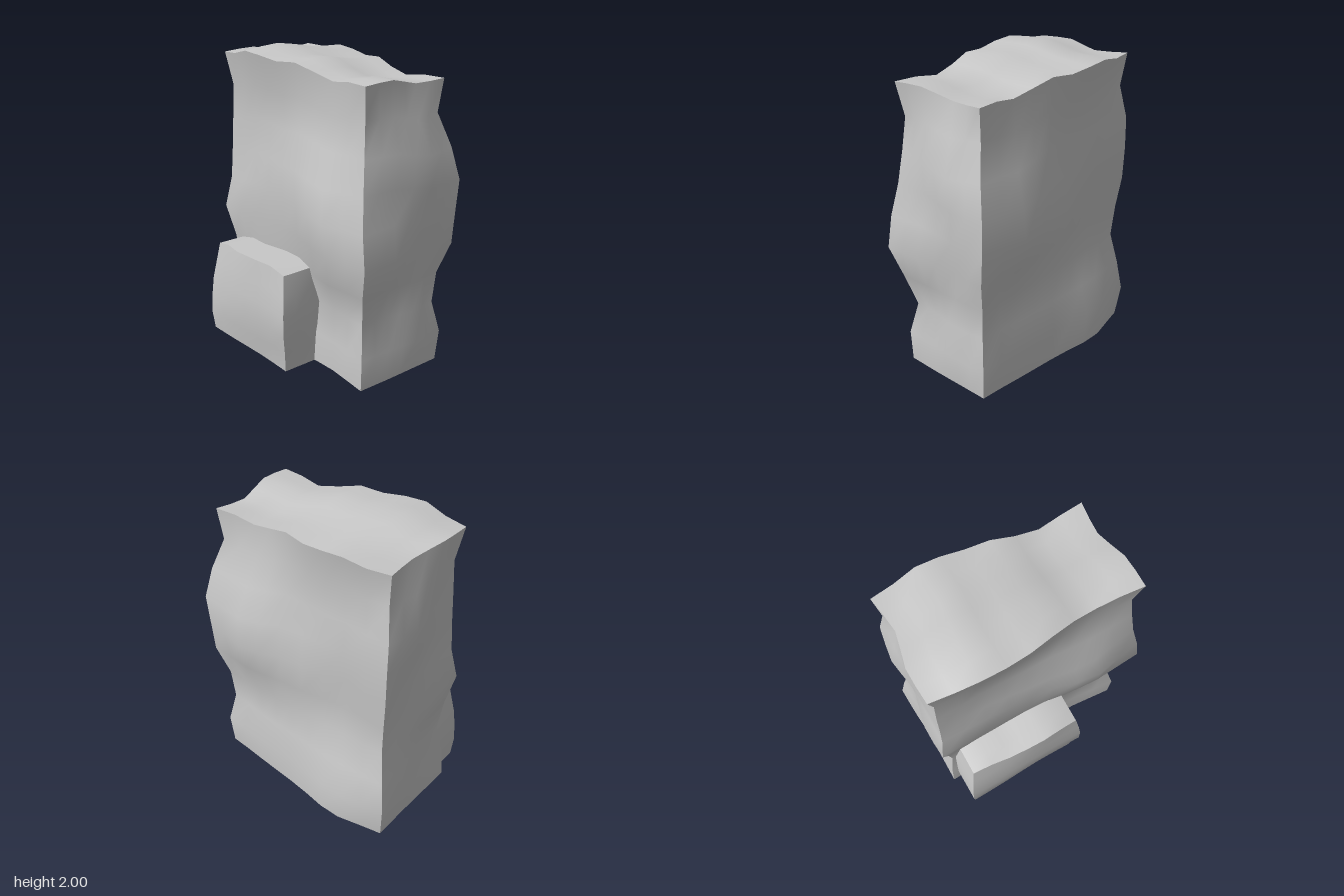
import * as THREE from 'three';

// Smooth curve through evenly spaced values, t from 0 to 1
function curve(values, t) {
  const last = values.length - 1;
  const s = Math.min(Math.max(t, 0), 1) * last;
  const i = Math.min(Math.floor(s), Math.max(last - 1, 0));
  const f = s - i;
  const at = (k) => values[Math.min(Math.max(k, 0), last)];
  const [a, b, c, d] = [at(i - 1), at(i), at(i + 1), at(i + 2)];
  return b + 0.5 * f * (c - a + f * (2 * a - 5 * b + 4 * c - d + f * (3 * (b - c) + d - a)));
}

// Wavy sheet through several profiles: s runs across them, t along them
const sheet = (profiles, s, t) => curve(profiles.map((p) => curve(p, t)), s);

// Box whose six sides follow wavy sheets, with hard edges between the sides
function wavyBlock(name, material, [nx, ny, nz], { left, right, back, front, top }) {
  const geometry = new THREE.BoxGeometry(1, 1, 1, nx, ny, nz);
  const position = geometry.attributes.position;
  for (let i = 0; i < position.count; i++) {
    const u = position.getX(i) + 0.5;
    const v = position.getY(i) + 0.5;
    const w = position.getZ(i) + 0.5;
    position.setXYZ(
      i,
      THREE.MathUtils.lerp(-sheet(right, w, v), sheet(left, w, v), u),
      v * sheet(top, w, u),
      THREE.MathUtils.lerp(-sheet(back, u, v), sheet(front, u, v), w)
    );
  }
  geometry.computeVertexNormals();
  const mesh = new THREE.Mesh(geometry, material);
  mesh.name = name;
  return mesh;
}

export function createModel() {
  const model = new THREE.Group();
  model.name = 'rockFormation';
  const stone = new THREE.MeshStandardMaterial({ color: 0xc8c8c8 });
  stone.name = 'pale grey stone';

  // Tall slab: vertical profiles run bottom to top, listed from -x to +x or back to front
  model.add(wavyBlock('tallRock', stone, [9, 9, 6], {
    right: [
      [0.715, 0.74, 0.71, 0.67, 0.685, 0.71, 0.715, 0.715, 0.68, 0.705],
      [0.71, 0.73, 0.70, 0.69, 0.695, 0.69, 0.72, 0.75, 0.71, 0.67],
      [0.71, 0.71, 0.68, 0.70, 0.745, 0.70, 0.70, 0.71, 0.70, 0.72],
      [0.71, 0.70, 0.665, 0.69, 0.735, 0.70, 0.69, 0.685, 0.675, 0.71],
    ],
    left: [
      [0.65, 0.665, 0.625, 0.64, 0.705, 0.71, 0.72, 0.68, 0.61, 0.635],
      [0.65, 0.675, 0.645, 0.65, 0.685, 0.70, 0.72, 0.73, 0.65, 0.615],
      [0.65, 0.66, 0.62, 0.67, 0.735, 0.70, 0.68, 0.70, 0.65, 0.655],
      [0.645, 0.655, 0.61, 0.67, 0.74, 0.71, 0.67, 0.645, 0.625, 0.66],
    ],
    back: [
      [0.43, 0.455, 0.425, 0.385, 0.40, 0.425, 0.43, 0.425, 0.385, 0.41],
      [0.50, 0.505, 0.45, 0.40, 0.40, 0.42, 0.43, 0.42, 0.41, 0.455],
      [0.46, 0.465, 0.435, 0.405, 0.445, 0.46, 0.43, 0.40, 0.39, 0.42],
      [0.43, 0.44, 0.41, 0.40, 0.46, 0.52, 0.50, 0.43, 0.37, 0.365],
      [0.40, 0.415, 0.375, 0.39, 0.445, 0.46, 0.472, 0.428, 0.367, 0.385],
    ],
    front: [
      [0.28, 0.27, 0.235, 0.26, 0.305, 0.27, 0.26, 0.25, 0.245, 0.28],
      [0.26, 0.25, 0.235, 0.255, 0.285, 0.285, 0.27, 0.25, 0.27, 0.325],
      [0.25, 0.24, 0.21, 0.25, 0.29, 0.30, 0.30, 0.25, 0.25, 0.295],
      [0.22, 0.22, 0.20, 0.28, 0.335, 0.365, 0.325, 0.25, 0.22, 0.235],
      [0.245, 0.25, 0.21, 0.265, 0.315, 0.305, 0.27, 0.245, 0.225, 0.26],
    ],
    top: [
      [1.925, 1.92, 1.945, 1.93, 1.91, 1.92, 1.88, 1.85, 1.87, 1.87],
      [1.91, 1.92, 1.96, 1.95, 1.92, 1.93, 1.88, 1.85, 1.86, 1.86],
      [1.94, 1.95, 2.00, 1.98, 1.96, 1.97, 1.92, 1.885, 1.91, 1.91],
      [1.93, 1.94, 1.975, 1.965, 1.945, 1.955, 1.915, 1.88, 1.90, 1.90],
    ],
  }));

  // Low block leaning into the front of the slab
  model.add(wavyBlock('lowRock', stone, [6, 5, 4], {
    right: [
      [0.65, 0.66, 0.655, 0.645, 0.62, 0.60],
      [0.645, 0.655, 0.65, 0.64, 0.62, 0.60],
    ],
    left: [
      [0.165, 0.17, 0.175, 0.175, 0.18, 0.18],
      [0.165, 0.18, 0.21, 0.21, 0.195, 0.175],
    ],
    back: [[-0.1]],
    front: [
      [0.49, 0.505, 0.50, 0.49, 0.47, 0.45],
      [0.48, 0.50, 0.515, 0.51, 0.50, 0.48],
      [0.465, 0.49, 0.51, 0.515, 0.505, 0.495],
      [0.465, 0.48, 0.51, 0.51, 0.495, 0.475],
    ],
    top: [
      [0.65, 0.68, 0.675, 0.69, 0.705, 0.71, 0.68],
      [0.65, 0.68, 0.675, 0.69, 0.70, 0.705, 0.675],
    ],
  }));

  return model;
}
